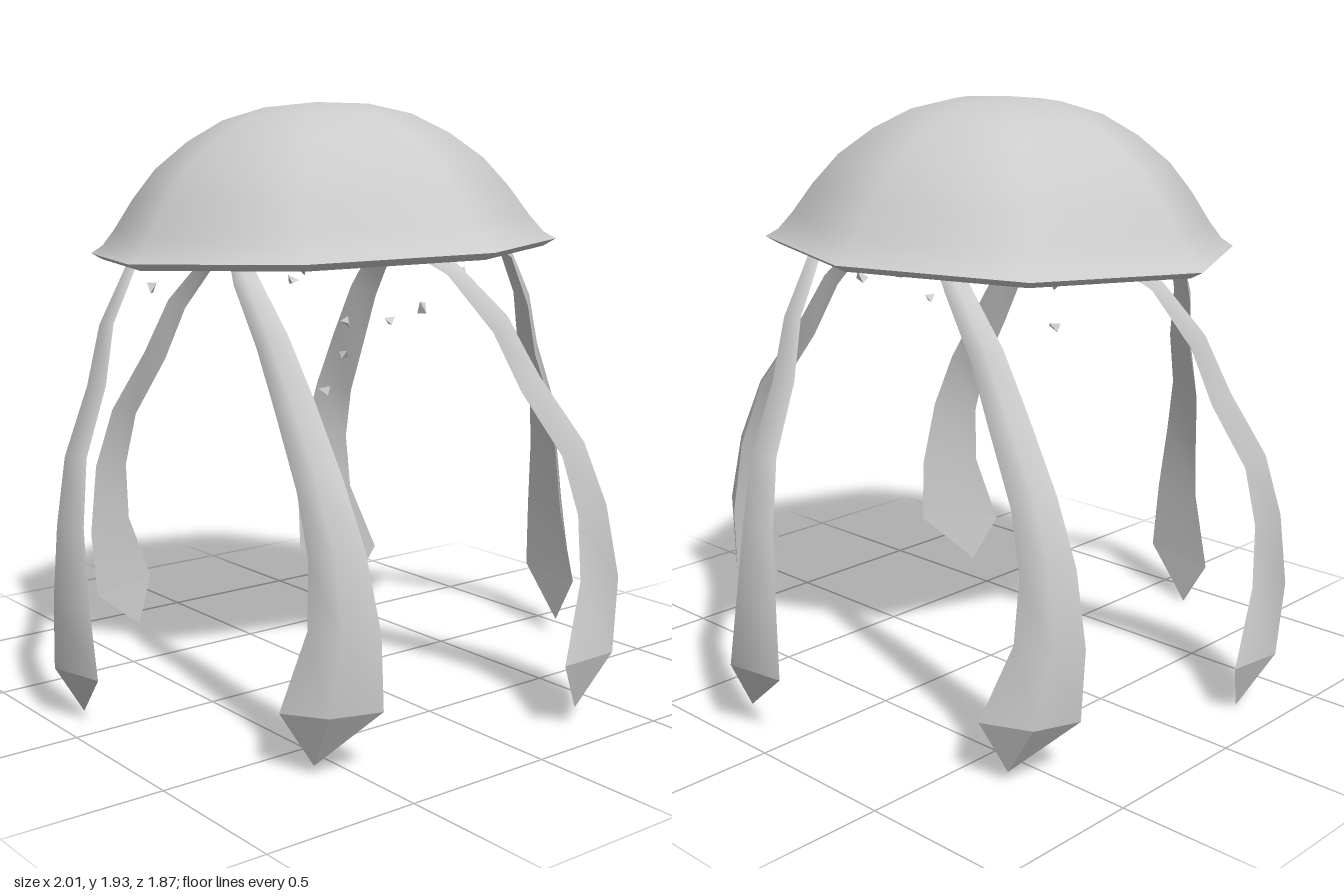
import * as THREE from 'three';

const SIDES = 8, ARMS = 6;

// Three-cornered arm: two barb edges and an outer ridge, flat inside, pointed end
function armGeometry() {
  // ridge x, y, z, half width, depth, facing angle in degrees
  const rows = [
    [0.2, 1.64, 0.24, 0.02, 0.015, 34],
    [0.3, 1.57, 0.29, 0.025, 0.02, 32],
    [0.43, 1.5, 0.315, 0.03, 0.022, 30],
    [0.565, 1.43, 0.31, 0.038, 0.025, 28],
    [0.706, 1.256, 0.255, 0.05, 0.035, 24],
    [0.79, 1.075, 0.206, 0.06, 0.045, 20],
    [0.91, 0.872, 0.157, 0.068, 0.05, 16],
    [0.97, 0.67, 0.122, 0.082, 0.06, 13],
    [1.003, 0.44, 0.112, 0.105, 0.08, 11],
    [0.992, 0.21, 0.157, 0.15, 0.09, 11],
  ];
  const ridge = rows.map(r => new THREE.Vector3(r[0], r[1], r[2]));
  const tip = new THREE.Vector3(0.88, 0.03, 0.193);
  const sections = rows.map((r, i) => {
    const a = THREE.MathUtils.degToRad(r[5]);
    const along = ridge[Math.min(i + 1, rows.length - 1)].clone().sub(ridge[Math.max(i - 1, 0)]).normalize();
    const across = new THREE.Vector3(-Math.sin(a), 0, Math.cos(a));
    if (i < rows.length - 1) across.addScaledVector(along, -across.dot(along)).normalize();
    const out = across.clone().cross(along).normalize();
    const back = ridge[i].clone().addScaledVector(out, -r[4]);
    if (i === rows.length - 1) back.y = 0.195;
    return {
      l: back.clone().addScaledVector(across, -r[3]),
      o: ridge[i],
      r: back.clone().addScaledVector(across, r[3]),
    };
  });

  const pos = [], index = [];
  const push = v => pos.push(v.x, v.y, v.z) / 3 - 1;
  const strip = keys => {
    const start = pos.length / 3, n = keys.length;
    sections.forEach(s => keys.forEach(k => push(s[k])));
    for (let i = 0; i < sections.length - 1; i++)
      for (let j = 0; j < n - 1; j++) {
        const a = start + i * n + j;
        index.push(a, a + 1, a + n, a + 1, a + n + 1, a + n);
      }
  };
  strip(['l', 'o', 'r']); // smooth outside
  strip(['r', 'l']);      // flat inside
  const e = sections[sections.length - 1];
  for (const [p, q] of [[e.l, e.o], [e.o, e.r], [e.r, e.l]]) index.push(push(p), push(q), push(tip));

  const g = new THREE.BufferGeometry();
  g.setAttribute('position', new THREE.Float32BufferAttribute(pos, 3));
  g.setIndex(index);
  g.computeVertexNormals();
  return g;
}

export function createModel() {
  const model = new THREE.Group();
  model.name = 'jellyfish';
  const grey = new THREE.MeshStandardMaterial({ color: 0xcccccc });
  grey.name = 'pale grey';

  // The body leans slightly
  const body = new THREE.Group();
  body.name = 'body';
  body.rotation.set(-0.022, 0, 0.028);
  body.position.set(0.01, 0, 0.008);
  model.add(body);

  // Bell: outer dome, and hollow underside with a turned lip
  const lathe = (name, pts) => {
    const m = new THREE.Mesh(new THREE.LatheGeometry(pts.map(p => new THREE.Vector2(...p)), SIDES), grey);
    m.name = name;
    m.position.y = 1.465;
    m.rotation.y = THREE.MathUtils.degToRad(4);
    body.add(m);
  };
  lathe('bellTop', [[0.77, 0], [0.73, 0.025], [0.685, 0.08], [0.62, 0.175], [0.54, 0.27],
    [0.43, 0.355], [0.31, 0.42], [0.17, 0.457], [0, 0.468]]);
  lathe('bellUnderside', [[0, 0.43], [0.28, 0.39], [0.42, 0.31], [0.52, 0.22], [0.6, 0.12],
    [0.67, 0.015], [0.73, -0.022], [0.77, 0]]);

  // Arms, evenly spaced around the bell
  const arm = armGeometry();
  for (let k = 0; k < ARMS; k++) {
    const m = new THREE.Mesh(arm, grey);
    m.name = 'tentacle' + (k + 1);
    m.rotation.y = -k * Math.PI * 2 / ARMS;
    body.add(m);
  }

  // Small shards floating below the bell
  const shards = new THREE.Group();
  shards.name = 'shards';
  const shard = new THREE.TetrahedronGeometry(0.025);
  [[-0.5, 1.33, -0.33], [-0.35, 1.27, 0.02], [-0.25, 1.15, -0.06], [-0.17, 1.4, 0.06],
    [-0.11, 1.35, -0.08], [-0.02, 1.3, 0.47], [0.01, 1.24, 0.28], [-0.01, 1.11, 0.07],
    [-0.02, 0.98, -0.02], [0.2, 1.18, -0.18], [0.39, 1.37, 0.2], [0.06, 1.45, -0.08],
    [0.08, 1.41, -0.08], [-0.2, 1.52, 0.15], [0.25, 1.55, 0.1], [0.1, 1.6, -0.25]]
    .forEach((p, i) => {
      const m = new THREE.Mesh(shard, grey);
      m.name = 'shard' + (i + 1);
      m.position.set(...p);
      m.rotation.set(i * 1.3, i * 2.1, i * 0.7);
      m.scale.set(0.8, 1.2, 0.8);
      shards.add(m);
    });
  model.add(shards);
  return model;
}
